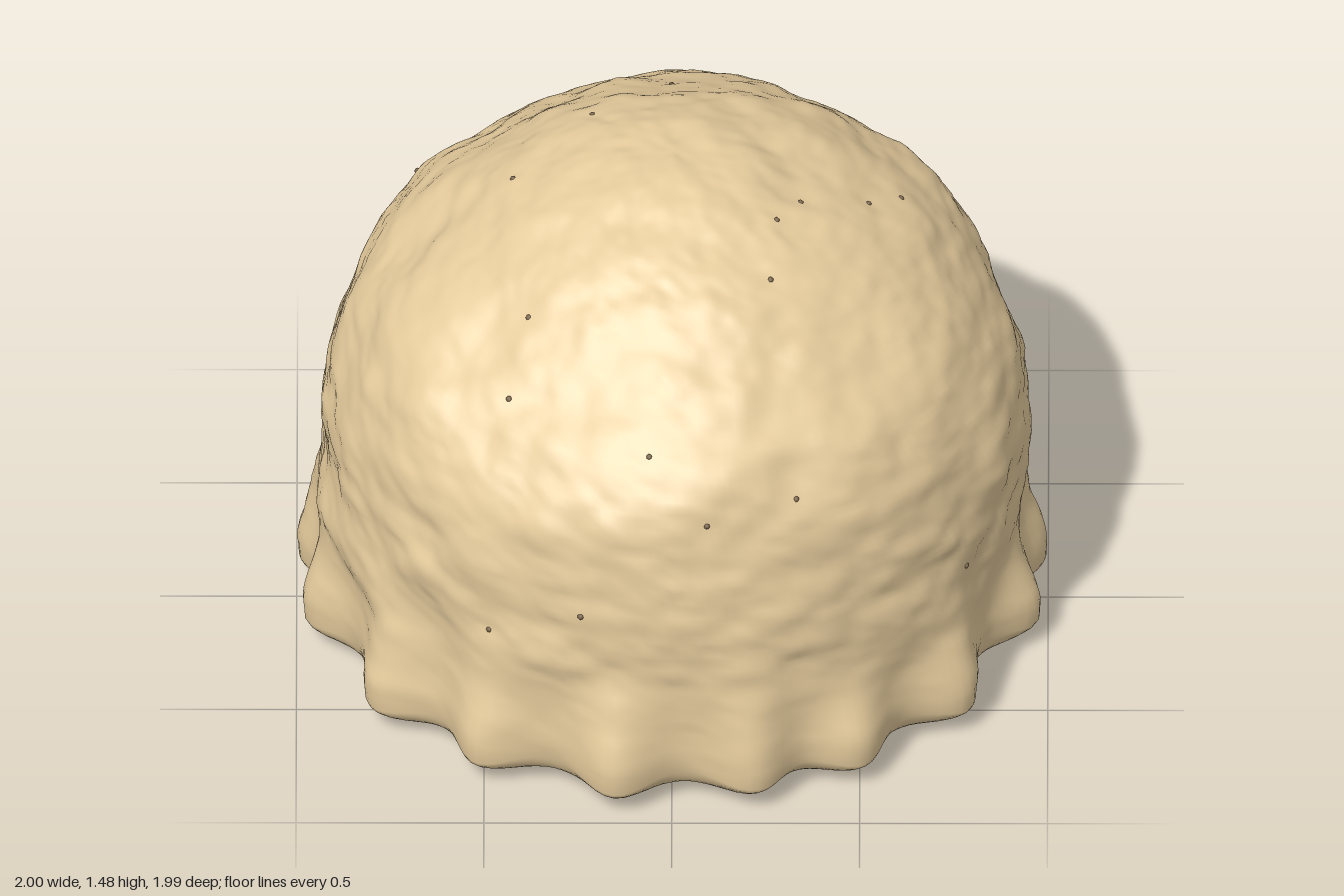
import * as THREE from 'three';
import { mergeVertices } from 'three/addons/utils/BufferGeometryUtils.js';

// Repeatable lattice noise in the range -1..1
function hash(x, y, z) {
  let h = Math.imul(x, 374761393) ^ Math.imul(y, 668265263) ^ Math.imul(z, 1274126177);
  h = Math.imul(h ^ (h >>> 13), 1103515245);
  return ((h ^ (h >>> 16)) >>> 0) / 2147483648 - 1;
}
function noise(x, y, z) {
  const i = Math.floor(x), j = Math.floor(y), k = Math.floor(z);
  const ease = (t) => t * t * (3 - 2 * t);
  const u = ease(x - i), v = ease(y - j), w = ease(z - k);
  let sum = 0;
  for (let n = 0; n < 8; n++) {
    const a = n & 1, b = (n >> 1) & 1, c = n >> 2;
    sum += hash(i + a, j + b, k + c) * (a ? u : 1 - u) * (b ? v : 1 - v) * (c ? w : 1 - w);
  }
  return sum;
}

// Compass angles (degrees from the front towards +x) of the lobes round the skirt
const LOBES = [-9, 13, 31, 53, 78, 95, 120, 140, 162, 177, 203, 227, 243, 265, 282, 307, 328];

function lobeAmount(x, y, z) {
  const angle = THREE.MathUtils.radToDeg(Math.atan2(x, z));
  let sum = 0;
  LOBES.forEach((lobe, n) => {
    const d = THREE.MathUtils.euclideanModulo(angle - lobe + 180, 360) - 180;
    // Each lobe fades out at its own height
    const top = 0.47 + 0.1 * hash(n, 7, 3);
    sum += Math.exp(-((d / 6.5) ** 2)) * (1 - THREE.MathUtils.smoothstep(y, 0.1, top));
  });
  return Math.min(sum, 1.1);
}

// Moves a point of the smooth dome onto the lumpy surface
function roughen(p) {
  const { x, y, z } = p;
  const r = Math.hypot(x, z);
  const out = new THREE.Vector3(x, y - Math.min(y, 0.5), z).normalize();
  const lump = 0.02 * noise(x * 2.6 + 9, y * 2.6, z * 2.6)
    + 0.015 * noise(x * 6, y * 7 + 5, z * 6)
    + 0.007 * noise(x * 12, y * 18, z * 12 + 3)
    + 0.003 * noise(x * 28, y * 40, z * 28);
  const rim = THREE.MathUtils.smoothstep(r, 0.6, 0.85);
  const upper = THREE.MathUtils.smoothstep(y, 0.25, 0.5);
  const foot = 0.45 + 0.55 * THREE.MathUtils.smoothstep(y, 0.03, 0.11);
  const lobe = lobeAmount(x, y, z) * rim;
  p.addScaledVector(out, lump * (0.4 + 0.6 * upper) * (y < 0.06 ? rim : 1)
    + (lobe * 0.09 - 0.015 * (1 - upper) * rim) * foot);
  // Fuller shoulder towards the back, and a fuller crown towards the model's left
  p.z -= 0.045 * Math.exp(-(((y - 1.22) / 0.18) ** 2));
  p.x += 0.025 * Math.exp(-(((y - 1.28) / 0.15) ** 2));
  // Lobes sag a little below the flat base
  if (y < 0.12) p.y = Math.max(0, p.y - lobe * 0.025);
  return p;
}

function lumpyLathe(points, segments) {
  const geometry = new THREE.LatheGeometry(points, segments);
  geometry.deleteAttribute('uv');
  geometry.deleteAttribute('normal');
  const merged = mergeVertices(geometry, 1e-5);
  const pos = merged.attributes.position;
  const p = new THREE.Vector3();
  for (let i = 0; i < pos.count; i++) {
    roughen(p.fromBufferAttribute(pos, i));
    pos.setXYZ(i, p.x, p.y, p.z);
  }
  merged.computeVertexNormals();
  return merged;
}

export function createModel() {
  const group = new THREE.Group();
  const cream = new THREE.MeshStandardMaterial({ color: 0xe6cc9d });
  cream.name = 'cream';
  const brown = new THREE.MeshStandardMaterial({ color: 0x7a6448 });
  brown.name = 'speck brown';

  // Domed scoop with a lobed skirt
  const profile = [
    [0.8, 0.025], [0.87, 0.045], [0.915, 0.09], [0.93, 0.16], [0.93, 0.28], [0.935, 0.4], [0.938, 0.55],
    [0.93, 0.7], [0.89, 0.88], [0.83, 1.03], [0.74, 1.14], [0.64, 1.23], [0.5, 1.33],
    [0.34, 1.415], [0.17, 1.475], [0, 1.5],
  ].map(([r, y]) => new THREE.Vector2(r, y));
  const outline = new THREE.SplineCurve(profile).getSpacedPoints(130);
  outline[0].copy(profile[0]);
  outline[130].set(0, 1.5);
  const scoopGeometry = lumpyLathe(outline, 240);
  const scoop = new THREE.Mesh(scoopGeometry, cream);
  scoop.name = 'scoop';
  group.add(scoop);

  // Flat underside sharing the scoop's rim
  const floor = [0, 0.3, 0.6, 0.7, 0.8].map((r) => new THREE.Vector2(r, 0.025));
  const underside = new THREE.Mesh(lumpyLathe(floor, 240), cream);
  underside.name = 'underside';
  group.add(underside);

  // Small specks seated on the nearest point of the surface
  const specks = [
    [-0.43, 1.1, 0.57], [-0.39, 1.24, 0.41], [-0.05, 1.035, 0.77], [0.09, 0.91, 0.86],
    [0.32, 0.89, 0.75], [0.26, 1.33, 0.365], [-0.25, 0.615, 0.9], [-0.48, 0.5, 0.78],
    [0.77, 0.5, 0.5], [0.52, 1.32, -0.01], [0.6, 1.25, -0.08], [0.62, 0.94, -0.6],
    [0.56, 0.92, -0.62], [-0.2, 1.24, -0.63], [0, 1.33, -0.52], [-0.67, 1.05, -0.49],
    [-0.21, 1.42, -0.25], [-0.43, 1.37, -0.03], [0.35, 1.4, 0.09], [0.28, 1.4, 0.195],
    [-0.91, 0.75, -0.13],
  ];
  const speckGeometry = new THREE.SphereGeometry(0.009, 8, 6);
  const pos = scoopGeometry.attributes.position;
  const p = new THREE.Vector3(), target = new THREE.Vector3();
  const speckGroup = new THREE.Group();
  speckGroup.name = 'specks';
  for (const at of specks) {
    target.fromArray(at);
    const speck = new THREE.Mesh(speckGeometry, brown);
    speck.name = 'speck';
    let best = Infinity;
    for (let i = 0; i < pos.count; i++) {
      const d = p.fromBufferAttribute(pos, i).distanceToSquared(target);
      if (d < best) {
        best = d;
        speck.position.copy(p).multiplyScalar(0.997);
      }
    }
    speckGroup.add(speck);
  }
  group.add(speckGroup);
  return group;
}
